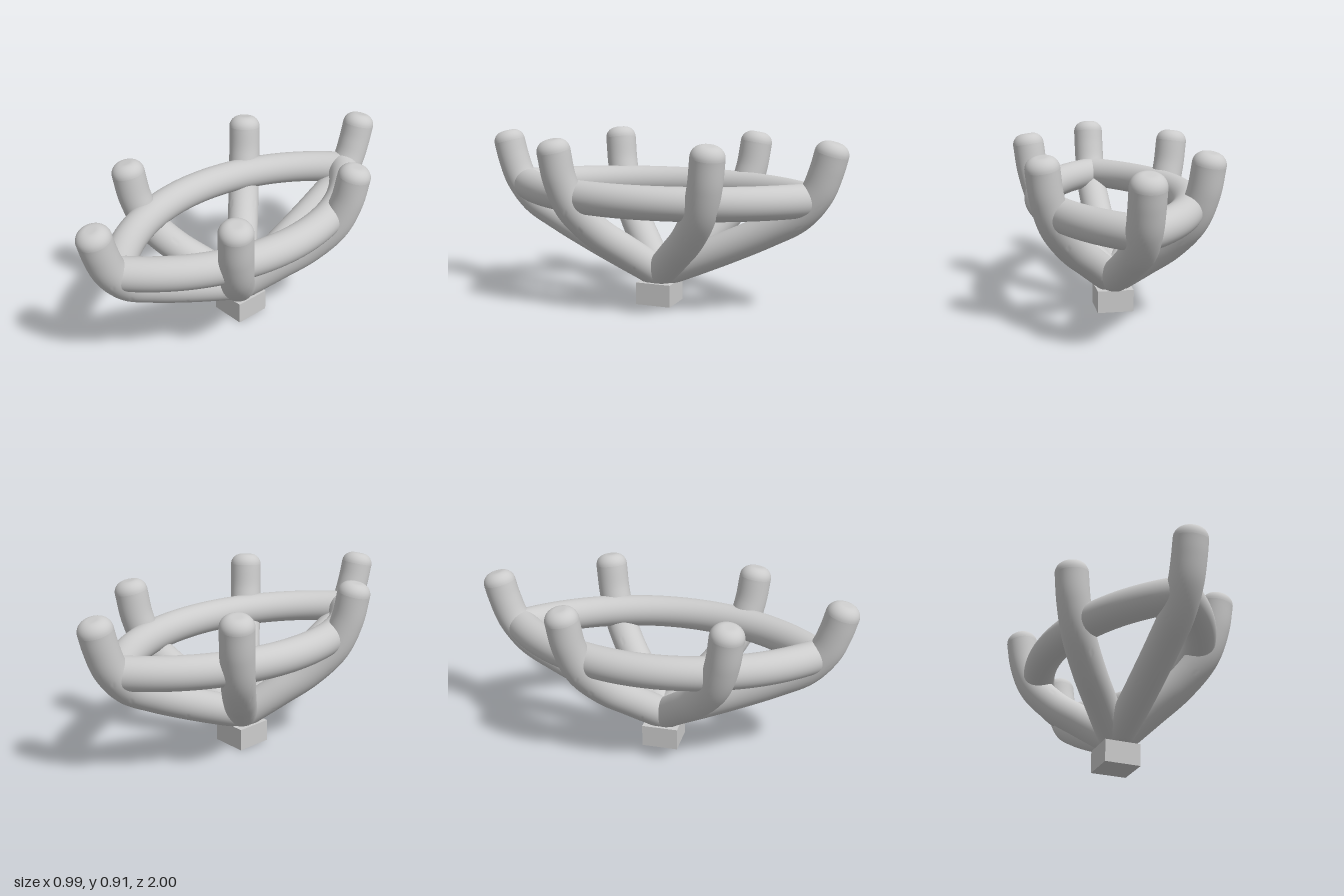
import * as THREE from 'three';
import { toCreasedNormals } from 'three/addons/utils/BufferGeometryUtils.js';
import { ParametricGeometry } from 'three/addons/geometries/ParametricGeometry.js';

const R = 0.086;        // radius of every rod
const FILLET = 0.06;    // rounding of the prong tips
const BASE_H = 0.12;
const material = new THREE.MeshStandardMaterial({ color: 0xcccccc });

function part(name, geometry) {
  const mesh = new THREE.Mesh(geometry, material);
  mesh.name = name;
  return mesh;
}

// Prong leaning out along +z: [outward distance, height] points
function makeProng(name, points) {
  const group = new THREE.Group();
  group.name = name;
  const curve = new THREE.CatmullRomCurve3(points.map(([d, y]) => new THREE.Vector3(0, y, d)));

  // Rod, cut flat where it rests on the base
  const rod = new THREE.TubeGeometry(curve, 64, R, 40, false);
  const pos = rod.attributes.position;
  for (let i = 0; i < pos.count; i++) pos.setY(i, Math.max(BASE_H, pos.getY(i)));
  group.add(part('prongRod', toCreasedNormals(rod, 0.6)));

  // Flat tip with a rounded edge
  const profile = [];
  for (let i = 0; i <= 10; i++) {
    const a = (i / 10) * Math.PI / 2;
    profile.push(new THREE.Vector2(R - FILLET + FILLET * Math.cos(a), FILLET * Math.sin(a)));
  }
  profile.push(new THREE.Vector2(0, FILLET));
  const tip = part('prongTip', new THREE.LatheGeometry(profile, 40));
  tip.position.copy(curve.getPoint(1));
  tip.quaternion.setFromUnitVectors(new THREE.Vector3(0, 1, 0), curve.getTangent(1));
  group.add(tip);
  return group;
}

// Half of the pointed rail: an arc of rod mitred on the plane x = 0
function makeRailHalf(name) {
  const halfWidth = 0.38, halfLength = 0.8;
  const arcR = (halfLength ** 2 + halfWidth ** 2) / (2 * halfWidth);
  const offset = arcR - halfWidth;
  const surface = (u, v, target) => {
    const phi = v * Math.PI * 2;
    const rho = arcR + R * Math.cos(phi);
    const a = (2 * u - 1) * Math.acos(offset / rho);
    target.set(rho * Math.cos(a) - offset, -R * Math.sin(phi), rho * Math.sin(a));
  };
  const half = part(name, new ParametricGeometry(surface, 72, 40));
  half.position.y = 0.605;
  return half;
}

export function createModel() {
  const model = new THREE.Group();
  model.name = 'prongSetting';

  // Square foot
  const base = part('base', new THREE.BoxGeometry(0.195, BASE_H, 0.195));
  base.position.y = BASE_H / 2;
  model.add(base);

  // Long prongs at the two points
  const longPath = [[0, 0.165], [0.2, 0.25], [0.4, 0.34], [0.6, 0.438],
    [0.75, 0.525], [0.845, 0.64], [0.89, 0.755], [0.913, 0.842]];
  ['frontProng', 'backProng'].forEach((name, i) => {
    const prong = makeProng(name, longPath);
    prong.rotation.y = i * Math.PI;
    model.add(prong);
  });

  // Four side prongs on the diagonals
  const sidePath = [[0, 0.16], [0.14, 0.297], [0.25, 0.408], [0.345, 0.55],
    [0.39, 0.7], [0.41, 0.845]].map(([d, y]) => [d * Math.SQRT2, y]);
  ['frontLeftProng', 'backLeftProng', 'backRightProng', 'frontRightProng'].forEach((name, i) => {
    const prong = makeProng(name, sidePath);
    prong.rotation.y = Math.PI / 4 + i * Math.PI / 2;
    model.add(prong);
  });

  // Pointed oval rail
  const left = makeRailHalf('leftRail');
  const right = makeRailHalf('rightRail');
  right.rotation.y = Math.PI;
  model.add(left, right);

  return model;
}
